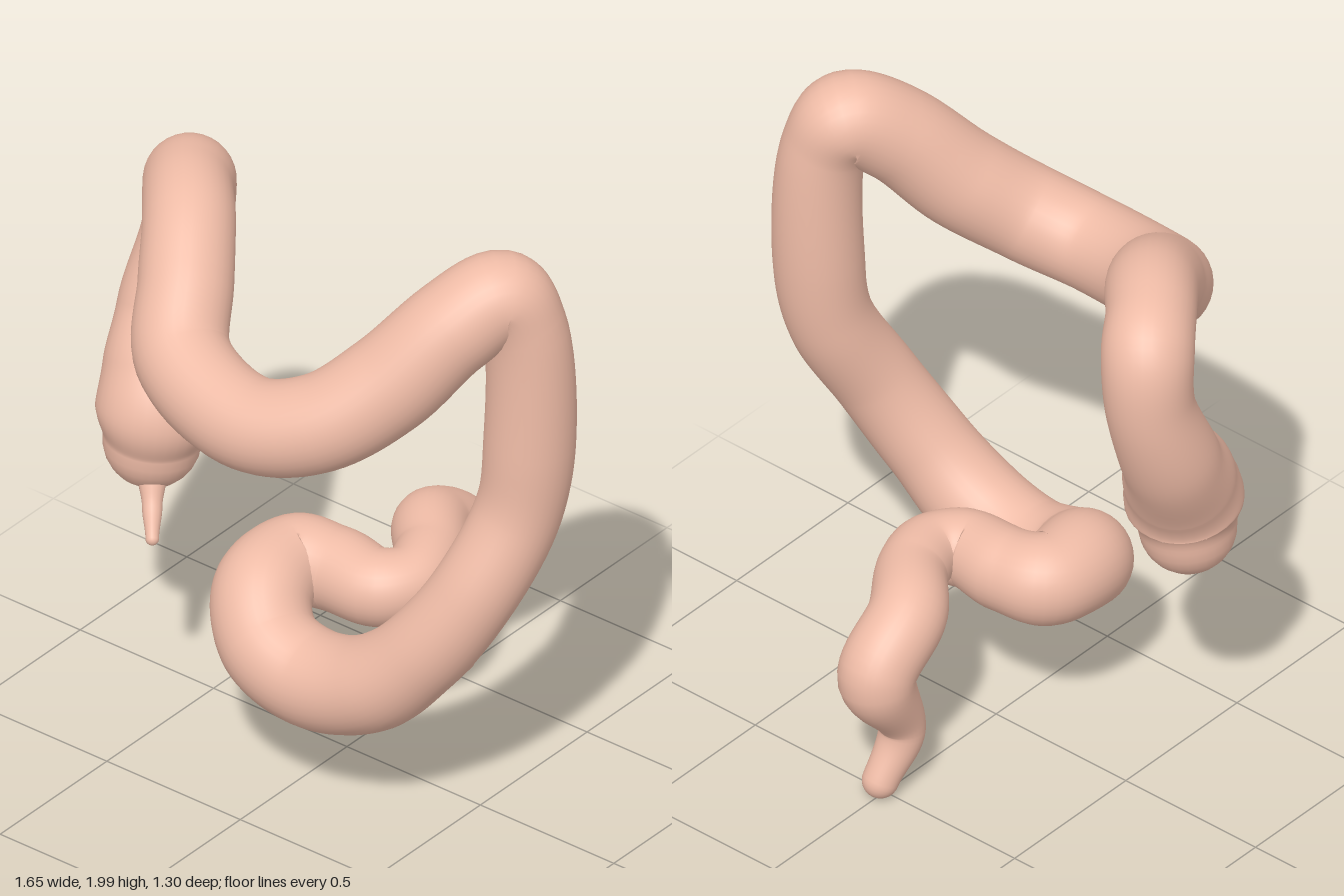
import * as THREE from 'three';

const material = new THREE.MeshStandardMaterial({ color: 0xeebba6 });

// Sweeps a round section along [x, y, z, radius] points, with domed ends.
function organTube(name, pts, perSpan = 10, sides = 32) {
  const curve = new THREE.CatmullRomCurve3(pts.map(p => new THREE.Vector3(p[0], p[1], p[2])));
  const spans = pts.length - 1, steps = spans * perSpan, dome = 7;
  const rings = [];
  const radiusAt = t => {
    const f = Math.min(t * spans, spans - 1e-6), i = Math.floor(f);
    return THREE.MathUtils.lerp(pts[i][3], pts[i + 1][3], THREE.MathUtils.smoothstep(f - i, 0, 1));
  };
  const addDome = (t, sign) => {
    const p = curve.getPoint(t), d = curve.getTangent(t), r = radiusAt(t);
    for (let k = 0; k < dome; k++) {
      const a = (sign < 0 ? k : dome - 1 - k) / dome * Math.PI / 2;
      rings.push({ p: p.clone().addScaledVector(d, sign * r * Math.cos(a)), d, r: Math.max(r * Math.sin(a), 1e-4) });
    }
  };
  addDome(0, -1);
  for (let i = 0; i <= steps; i++) {
    const t = i / steps;
    rings.push({ p: curve.getPoint(t), d: curve.getTangent(t), r: radiusAt(t) });
  }
  addDome(1, 1);

  // Carry one normal along the path so the skin does not twist
  const position = [], index = [];
  const n = new THREE.Vector3(0.3, 0.1, 1), b = new THREE.Vector3(), v = new THREE.Vector3();
  rings.forEach(({ p, d, r }, i) => {
    n.addScaledVector(d, -n.dot(d)).normalize();
    b.crossVectors(d, n);
    for (let j = 0; j < sides; j++) {
      const a = j / sides * Math.PI * 2;
      v.copy(p).addScaledVector(n, r * Math.cos(a)).addScaledVector(b, r * Math.sin(a));
      position.push(v.x, v.y, v.z);
      if (i === 0) continue;
      const k = (j + 1) % sides, lo = (i - 1) * sides, hi = i * sides;
      index.push(lo + j, lo + k, hi + j, lo + k, hi + k, hi + j);
    }
  });
  const geometry = new THREE.BufferGeometry();
  geometry.setAttribute('position', new THREE.Float32BufferAttribute(position, 3));
  geometry.setIndex(index);
  geometry.computeVertexNormals();
  const mesh = new THREE.Mesh(geometry, material);
  mesh.name = name;
  return mesh;
}

export function createModel() {
  const group = new THREE.Group();
  group.name = 'largeIntestine';

  // Pouch, rising limb, hanging cross limb, descending limb and lower loop
  group.add(organTube('colon', [
    [-0.61, 0.915, 0.15, 0.146],
    [-0.605, 1.02, 0.14, 0.178],
    [-0.63, 1.13, 0.09, 0.168],
    [-0.675, 1.27, 0.00, 0.148],
    [-0.67, 1.52, -0.09, 0.133],
    [-0.645, 1.69, -0.07, 0.138],
    [-0.58, 1.735, 0.02, 0.134],
    [-0.48, 1.72, 0.14, 0.138],
    [-0.38, 1.62, 0.28, 0.142],
    [-0.27, 1.48, 0.43, 0.145],
    [0.04, 1.415, 0.505, 0.143],
    [0.25, 1.47, 0.44, 0.148],
    [0.40, 1.60, 0.31, 0.152],
    [0.53, 1.78, 0.17, 0.146],
    [0.62, 1.86, 0.05, 0.140],
    [0.67, 1.76, 0.01, 0.128],
    [0.685, 1.36, 0.00, 0.136],
    [0.665, 1.12, 0.03, 0.130],
    [0.595, 0.87, 0.15, 0.130],
    [0.465, 0.65, 0.23, 0.134],
    [0.30, 0.49, 0.265, 0.146],
    [0.09, 0.425, 0.27, 0.150],
    [-0.08, 0.47, 0.26, 0.150],
    [-0.18, 0.565, 0.17, 0.150],
    [-0.185, 0.59, 0.01, 0.140],
    [-0.07, 0.59, -0.03, 0.128],
    [0.09, 0.59, -0.03, 0.118],
    [0.155, 0.60, -0.11, 0.108],
    [0.125, 0.605, -0.23, 0.108],
    [0.01, 0.585, -0.39, 0.118],
    [0.00, 0.46, -0.535, 0.118],
    [-0.015, 0.22, -0.44, 0.070],
    [0.00, 0.065, -0.52, 0.055],
  ]));

  // Small worm-like tail under the pouch
  group.add(organTube('appendix', [
    [-0.57, 0.84, 0.20, 0.045],
    [-0.53, 0.76, 0.25, 0.030],
    [-0.49, 0.69, 0.30, 0.020],
  ], 8, 16));

  return group;
}
